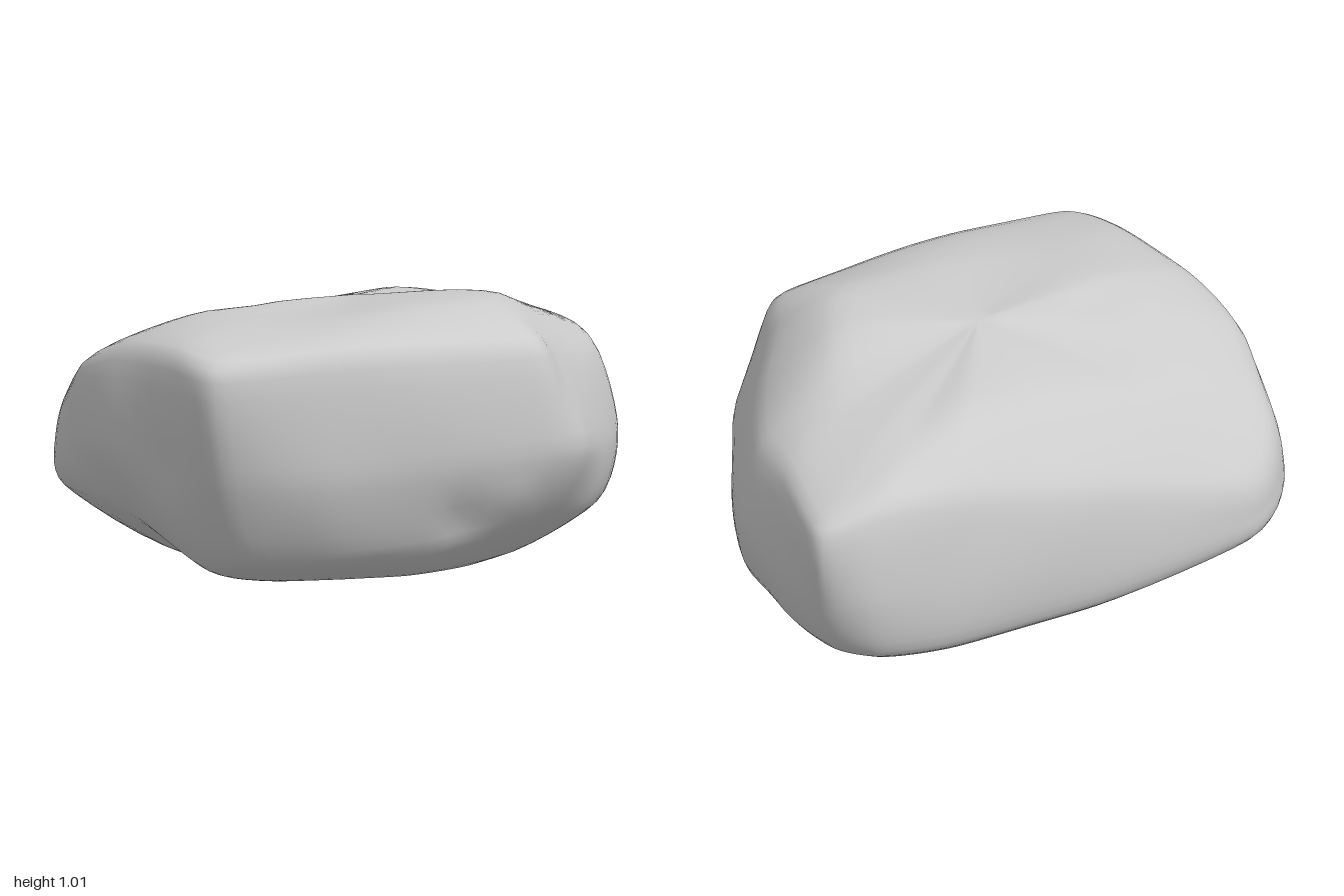
import * as THREE from 'three';
import { mergeVertices } from 'three/addons/utils/BufferGeometryUtils.js';

// Columns around the boulder, from +x towards +z:
// outline x, z | lower edge y, inset | upper edge y, inset | height of the inner top
const COLUMNS = [
  [0.98, 0.0, 0.21, 0.94, 0.75, 0.90, 0.93],
  [0.81, 0.33, 0.22, 0.93, 0.78, 0.89, 0.99],
  [0.65, 0.59, 0.23, 0.83, 0.86, 0.84, 1.01],
  [0.48, 0.69, 0.23, 0.82, 0.88, 0.94, 1.01],
  [0.10, 0.71, 0.17, 0.84, 0.89, 0.96, 1.0],
  [-0.35, 0.71, 0.15, 0.83, 0.89, 0.97, 0.98],
  [-0.71, 0.63, 0.15, 0.83, 0.87, 1.06, 0.97],
  [-0.85, 0.44, 0.12, 0.82, 0.89, 0.99, 0.97],
  [-0.97, 0.10, 0.25, 0.87, 0.86, 0.94, 0.97],
  [-1.0, -0.20, 0.29, 0.94, 0.76, 0.95, 0.92],
  [-0.93, -0.52, 0.27, 0.97, 0.62, 0.94, 0.83],
  [-0.72, -0.70, 0.22, 0.97, 0.48, 0.95, 0.80],
  [-0.10, -0.71, 0.14, 0.96, 0.61, 0.93, 0.87],
  [0.50, -0.715, 0.14, 0.95, 0.73, 0.93, 0.91],
  [0.83, -0.69, 0.16, 0.93, 0.76, 0.93, 0.89],
  [0.98, -0.58, 0.17, 0.91, 0.71, 1.01, 0.89],
  [1.0, -0.26, 0.18, 0.93, 0.76, 0.93, 0.90],
];

// Dents and bumps: centre, radius, depth towards the core (negative = bump)
const DENTS = [
  [-0.45, 0.97, -0.05, 0.12, 0.025],
  [-0.88, 0.48, 0.38, 0.16, 0.03],
  [0.86, 0.12, -0.15, 0.15, 0.04],
  [0.17, 0.26, 0.66, 0.09, 0.02],
  [0.35, 0.33, 0.68, 0.10, -0.015],
  [0.62, 0.10, 0.42, 0.10, 0.02],
];

const STEPS_AROUND = 6;
const STEPS_UP = 6;
const CORE = new THREE.Vector3(0, 0.5, 0);

// Control points of one column, from the underside pole to the top pole
function profile([x, z, lowY, lowIn, highY, highIn, topY]) {
  const at = (s, y) => new THREE.Vector3(x * s, y, z * s);
  return [
    at(0, 0.005), at(lowIn * 0.62, lowY * 0.22), at(lowIn, lowY),
    at(1, THREE.MathUtils.lerp(lowY, highY, 0.43)),
    at(highIn, highY), at(0.58, topY), at(0, 0.98),
  ];
}

// Press the dents in and add slight unevenness
function weather(p) {
  const inward = CORE.clone().sub(p).normalize();
  let push = 0.006 * Math.sin(7 * p.x + 3 * p.y) * Math.sin(8 * p.z + 5 * p.y + 1);
  for (const [x, y, z, r, depth] of DENTS) {
    const d = p.distanceTo(new THREE.Vector3(x, y, z)) / r;
    push += depth * Math.exp(-d * d * 1.5);
  }
  return p.addScaledVector(inward, push);
}

function boulderGeometry() {
  const profiles = COLUMNS.map(profile);
  const around = COLUMNS.length * STEPS_AROUND;
  const up = (profiles[0].length - 1) * STEPS_UP;

  // Closed curves around the boulder, one per control level
  const levels = profiles[0].map((_, k) =>
    new THREE.CatmullRomCurve3(profiles.map((c) => c[k]), true, 'catmullrom', 0.35));

  const positions = [];
  const index = [];
  for (let i = 0; i < around; i++) {
    const column = new THREE.CatmullRomCurve3(
      levels.map((l) => l.getPoint(i / around)), false, 'catmullrom', 0.35);
    for (let j = 0; j <= up; j++) {
      positions.push(...weather(column.getPoint(j / up)).toArray());
    }
    const a = i * (up + 1);
    const b = ((i + 1) % around) * (up + 1);
    for (let j = 0; j < up; j++) {
      if (j < up - 1) index.push(a + j, a + j + 1, b + j + 1);
      if (j > 0) index.push(a + j, b + j + 1, b + j);
    }
  }

  let geometry = new THREE.BufferGeometry();
  geometry.setAttribute('position', new THREE.Float32BufferAttribute(positions, 3));
  geometry.setIndex(index);
  geometry = mergeVertices(geometry, 1e-5);

  // Centre it and stand it on the ground
  geometry.computeBoundingBox();
  const { min, max } = geometry.boundingBox;
  geometry.translate(-(min.x + max.x) / 2, -min.y, -(min.z + max.z) / 2);
  geometry.computeVertexNormals();
  return geometry;
}

export function createModel() {
  const group = new THREE.Group();
  group.name = 'rock';
  const boulder = new THREE.Mesh(
    boulderGeometry(), new THREE.MeshStandardMaterial({ color: 0xcccccc }));
  boulder.name = 'boulder';
  group.add(boulder);
  return group;
}
